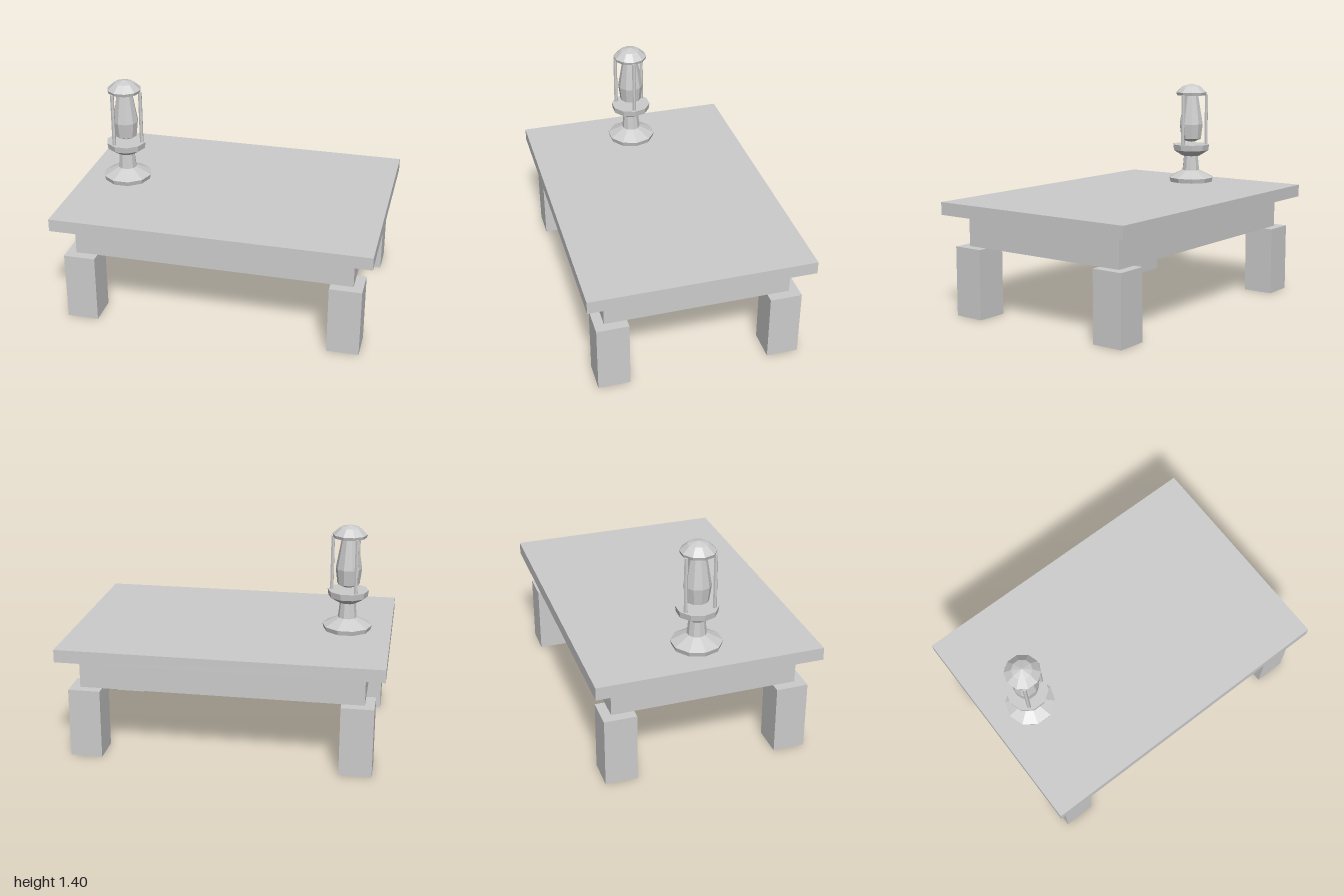
import * as THREE from 'three';

export function createModel() {
  const model = new THREE.Group();
  const grey = new THREE.MeshStandardMaterial({ color: 0xcccccc, flatShading: true });
  grey.name = 'plain grey';

  function add(parent, name, geometry, x = 0, y = 0, z = 0) {
    const mesh = new THREE.Mesh(geometry, grey);
    mesh.name = name;
    mesh.position.set(x, y, z);
    parent.add(mesh);
    return mesh;
  }

  // Table: slab, apron and four square legs
  const table = new THREE.Group();
  table.name = 'table';
  model.add(table);
  add(table, 'tableTop', new THREE.BoxGeometry(2, 0.08, 1.4), 0, 0.68, 0);
  add(table, 'apron', new THREE.BoxGeometry(1.76, 0.2, 1.16), 0, 0.54, 0);
  const leg = new THREE.BoxGeometry(0.2, 0.44, 0.2);
  for (const x of [-0.84, 0.84]) {
    for (const z of [-0.54, 0.54]) {
      add(table, (z > 0 ? 'front' : 'back') + (x > 0 ? 'Left' : 'Right') + 'Leg', leg, x, 0.22, z);
    }
  }

  // Lantern standing on the table; heights are measured from the table top
  const lantern = new THREE.Group();
  lantern.name = 'lantern';
  lantern.position.set(-0.72, 0.72, 0);
  model.add(lantern);

  // Ten-sided turned part with a corner on the x axis
  function turned(name, profile) {
    const points = profile.map(([r, y]) => new THREE.Vector2(r, y));
    add(lantern, name, new THREE.LatheGeometry(points, 10).rotateY(Math.PI / 2));
  }
  turned('foot', [[0, 0], [0.15, 0], [0.158, 0.03], [0.06, 0.08], [0, 0.08]]);
  turned('stem', [[0.06, 0.08], [0.05, 0.18]]);
  turned('cup', [[0, 0.18], [0.06, 0.18], [0.124, 0.22], [0.13, 0.26], [0, 0.26]]);
  turned('glass', [[0, 0.275], [0.03, 0.28], [0.07, 0.3], [0.083, 0.4], [0.047, 0.61], [0, 0.61]]);
  turned('cap', [[0, 0.6], [0.104, 0.6], [0.11, 0.62], [0.063, 0.662], [0, 0.68]]);

  // Three posts holding the cap
  const post = new THREE.CylinderGeometry(0.012, 0.012, 0.35, 6);
  for (let i = 0; i < 3; i++) {
    const a = (i * Math.PI * 2) / 3;
    add(lantern, 'post' + (i + 1), post, 0.104 * Math.cos(a), 0.43, 0.104 * Math.sin(a));
  }

  return model;
}
